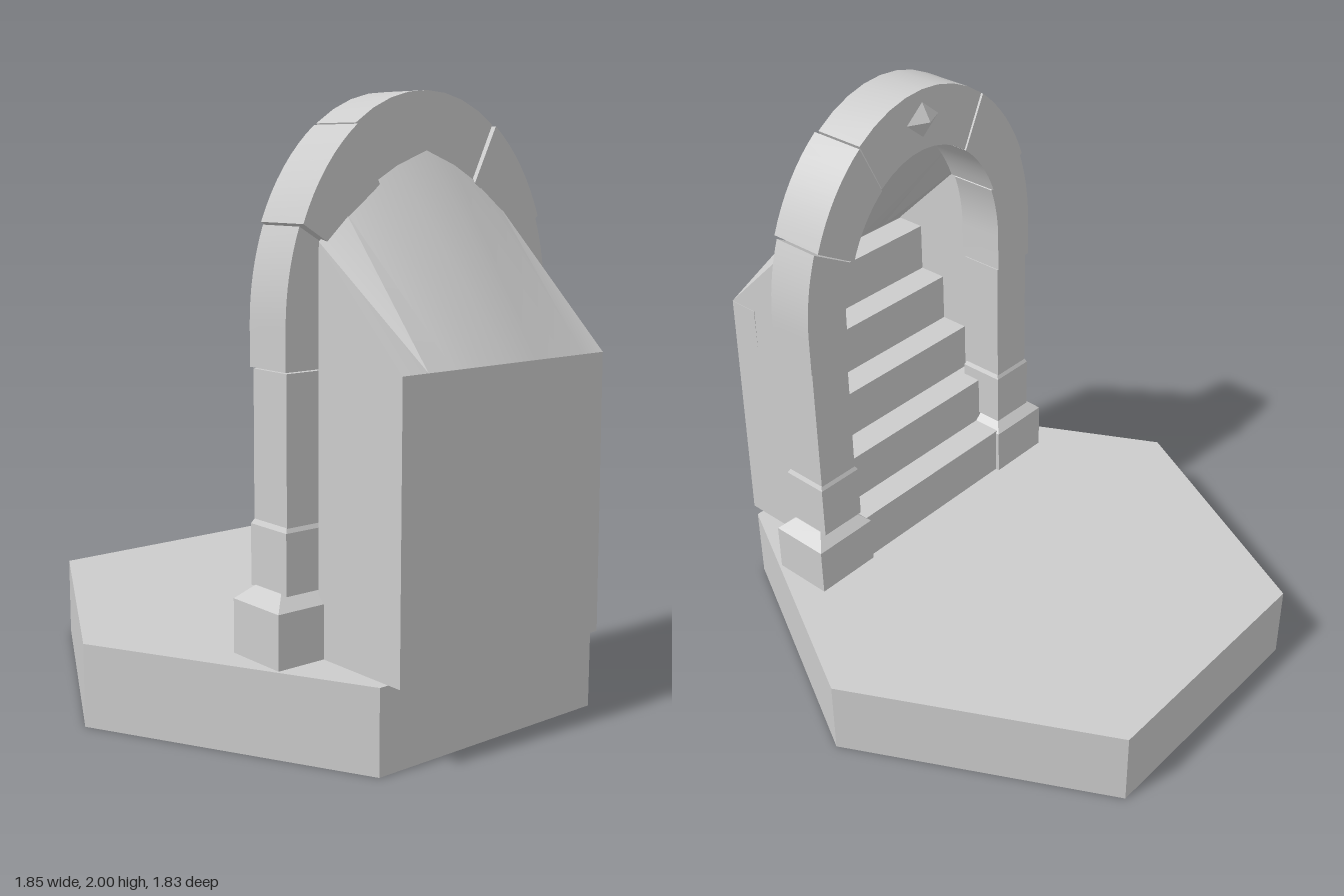
import * as THREE from 'three';
import { toCreasedNormals } from 'three/addons/utils/BufferGeometryUtils.js';

const stone = new THREE.MeshStandardMaterial({ color: 0xcccccc });
const thinStone = new THREE.MeshStandardMaterial({ color: 0xcccccc, side: THREE.DoubleSide });
const FLOOR = 0.275;

function add(parent, name, geometry, material = stone) {
  const mesh = new THREE.Mesh(geometry, material);
  mesh.name = name;
  parent.add(mesh);
  return mesh;
}

// Box between limits; the top can be drawn in by `inset` for a chamfer
function block([x0, x1], [y0, y1], [z0, z1], inset = 0) {
  const g = new THREE.BoxGeometry(x1 - x0, y1 - y0, z1 - z0).toNonIndexed();
  const p = g.attributes.position;
  for (let i = 0; i < p.count; i++) {
    if (inset && p.getY(i) > 0) {
      p.setX(i, p.getX(i) - Math.sign(p.getX(i)) * inset);
      p.setZ(i, p.getZ(i) - Math.sign(p.getZ(i)) * inset);
    }
  }
  g.computeVertexNormals();
  return g.translate((x0 + x1) / 2, (y0 + y1) / 2, (z0 + z1) / 2);
}

// Arch stone between two angles of the inner and outer ellipse
function archStone(a0, a1, z0, z1, legY) {
  const at = (rx, ry, a) => new THREE.Vector2(rx * Math.cos(a), 1.3 + ry * Math.sin(a));
  const outer = [], inner = [], steps = 8;
  for (let i = 0; i <= steps; i++) {
    const a = THREE.MathUtils.degToRad(a0 + ((a1 - a0) * i) / steps);
    outer.push(at(0.555, 0.7, a));
    inner.push(at(0.385, 0.49, a));
  }
  if (legY) {
    outer.unshift(new THREE.Vector2(0.555, legY));
    inner.unshift(new THREE.Vector2(0.385, legY));
  }
  const shape = new THREE.Shape([...outer, ...inner.reverse()]);
  const g = new THREE.ExtrudeGeometry(shape, { depth: z1 - z0, bevelEnabled: false });
  return toCreasedNormals(g.translate(0, 0, z0), 0.5);
}

// Thin alcove wall: a round-headed section lofted to a low square back
function alcoveGeometry() {
  const lean = (y) => 0.435 - 0.012 * (y - FLOOR);
  const head = [[-0.43, 1.55], [-0.33, 1.64], [-0.23, 1.715], [-0.12, 1.775], [0, 1.82],
    [0.12, 1.775], [0.23, 1.715], [0.33, 1.64], [lean(1.55), 1.55]];
  const ends = [[-0.43, FLOOR], [0.435, FLOOR]];
  const section = (points, z) => [ends[0], ...points, ends[1]].map(([x, y]) => [x, y, z]);
  const A = section(head, 0.545);
  const B = section(head.map(([x], i) => [i === head.length - 1 ? lean(1.19) : x, 1.19]), 0.915);
  const v = [];
  for (let i = 0; i < A.length - 1; i++) {
    v.push(A[i], B[i + 1], A[i + 1], A[i], B[i], B[i + 1]);
    if (i > 0) v.push(B[0], B[i + 1], B[i]);
  }
  const g = new THREE.BufferGeometry();
  g.setAttribute('position', new THREE.Float32BufferAttribute(v.flat(), 3));
  return toCreasedNormals(g, 0.5);
}

// Staircase profile in z and y, swept across x
function stairGeometry() {
  const rise = 0.183, run = 0.11, count = 5;
  const pts = [new THREE.Vector2(0.36, FLOOR)];
  for (let i = 0; i < count; i++) {
    const z = 0.36 + i * run, y = FLOOR + (i + 1) * rise;
    pts.push(new THREE.Vector2(z, y));
    pts.push(new THREE.Vector2(i === count - 1 ? 0.91 : z + run, y));
  }
  pts.push(new THREE.Vector2(0.91, FLOOR));
  const g = new THREE.ExtrudeGeometry(new THREE.Shape(pts), { depth: 0.851, bevelEnabled: false });
  return g.rotateY(-Math.PI / 2).translate(0.426, 0, 0);
}

export function createModel() {
  const model = new THREE.Group();
  model.name = 'archedStairway';

  // Hexagonal base, open underneath
  const base = new THREE.Group();
  base.name = 'base';
  const stretch = 0.89 / Math.sin(Math.PI / 3);
  const rim = new THREE.CylinderGeometry(1, 1, FLOOR, 6, 1, true, Math.PI / 6)
    .scale(0.925, 1, stretch).translate(0, FLOOR / 2, -0.025);
  add(base, 'baseRim', toCreasedNormals(rim, 0.2), thinStone);
  const top = new THREE.CircleGeometry(1, 6).rotateX(-Math.PI / 2)
    .scale(0.925, 1, stretch).translate(0, FLOOR, -0.025);
  add(base, 'baseTop', top, thinStone);
  model.add(base);

  // Stairs and the alcove around them
  add(model, 'stairs', stairGeometry());
  add(model, 'alcove', alcoveGeometry(), thinStone);

  // Pillars with the lower arch stones
  for (const [side, turn] of [['left', 0], ['right', 1]]) {
    const pillar = new THREE.Group();
    pillar.name = side + 'Pillar';
    const parts = {
      Foot: block([0.355, 0.605], [FLOOR, 0.45], [0.345, 0.57]),
      FootChamfer: block([0.355, 0.605], [0.45, 0.495], [0.345, 0.57], 0.048),
      Plinth: block([0.38, 0.555], [0.49, 0.685], [0.37, 0.545]),
      PlinthChamfer: block([0.38, 0.555], [0.685, 0.7], [0.37, 0.545], 0.008),
      Shaft: block([0.388, 0.547], [0.695, 1.165], [0.377, 0.538]),
      Springer: archStone(0, 25, 0.37, 0.545, 1.17),
      Voussoir: archStone(25.7, 58, 0.355, 0.558),
    };
    for (const [name, g] of Object.entries(parts)) {
      // Turning about the arch's own middle plane mirrors each symmetrical part
      if (turn) g.translate(0, 0, -0.4575).rotateY(Math.PI).translate(0, 0, 0.4575);
      add(pillar, side + name, g);
    }
    model.add(pillar);
  }

  // Crown stone with a pointed stud
  add(model, 'crownStone', archStone(58.7, 121.3, 0.36, 0.547));
  const stud = new THREE.ConeGeometry(1, 0.04, 4).toNonIndexed();
  stud.rotateX(-Math.PI / 2).scale(0.085, 0.07, 1).translate(0, 1.895, 0.345);
  stud.computeVertexNormals();
  add(model, 'stud', stud);

  return model;
}
